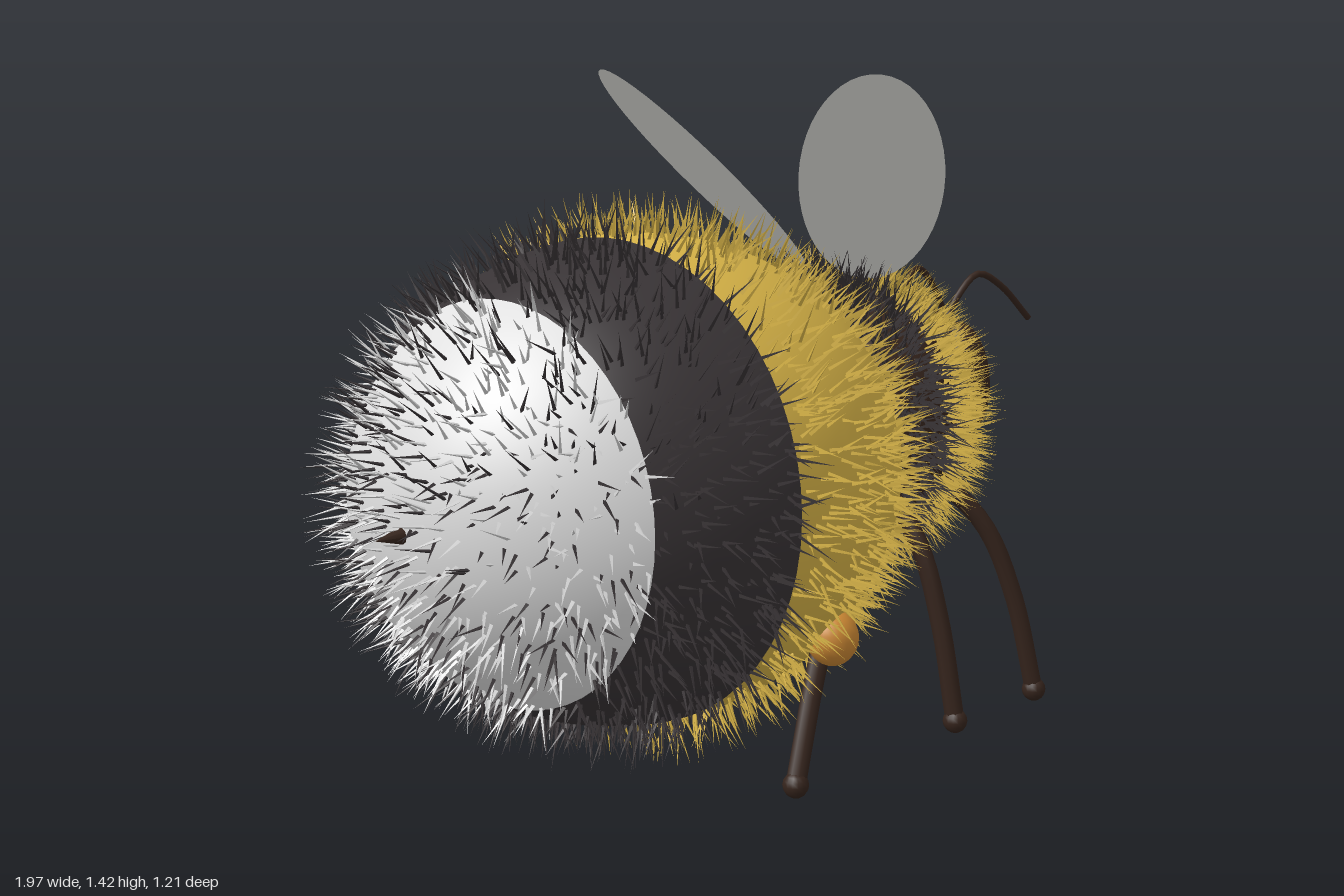
import * as THREE from 'three';

const V = (x, y, z) => new THREE.Vector3(x, y, z);

function material(name, color) {
  const m = new THREE.MeshStandardMaterial({ color });
  m.name = name;
  return m;
}

const mats = {
  yellow: material('yellow', 0xd9b548),
  black: material('black', 0x383335),
  white: material('white', 0xe0e0e0),
  brown: material('brown', 0x35241c),
  wing: material('wing', 0xe6e6e1),
  pollen: material('pollen orange', 0xcc8834),
};
mats.wing.side = THREE.DoubleSide;

// Small seeded generator
function seeded(seed) {
  return () => {
    seed = (seed * 16807) % 2147483647;
    return seed / 2147483647;
  };
}

function add(parent, name, geometry, mat) {
  const mesh = new THREE.Mesh(geometry, mat);
  mesh.name = name;
  parent.add(mesh);
  return mesh;
}

function ellipsoid(parent, name, mat, c, r, segments = 32) {
  const geo = new THREE.SphereGeometry(1, segments, Math.round(segments * 0.6));
  geo.scale(r.x, r.y, r.z);
  const mesh = add(parent, name, geo, mat);
  mesh.position.copy(c);
  return mesh;
}

function tube(parent, name, mat, points, radius) {
  const curve = new THREE.CatmullRomCurve3(points);
  return add(parent, name, new THREE.TubeGeometry(curve, 18, radius, 8), mat);
}

// Three-sided spikes spread evenly over an ellipsoid, grouped by colour
function fur(parent, name, c, r, count, length, width, pick, seed) {
  const rand = seeded(seed);
  const buckets = {};
  const p = V(0, 0, 0), dir = V(0, 0, 0), t1 = V(0, 0, 0), t2 = V(0, 0, 0);
  for (let i = 0; i < count; i++) {
    const h = 1 - (2 * (i + rand())) / count;
    const a = i * 2.399963 + rand() * 1.5;
    const s = Math.sqrt(1 - h * h);
    const n = V(h, s * Math.cos(a), s * Math.sin(a));
    p.copy(n).multiply(r).add(c);
    const key = pick(p, rand());
    if (!key) continue;
    dir.copy(n).divide(r).normalize();
    dir.add(V(rand() - 0.5, rand() - 0.5, rand() - 0.5).multiplyScalar(0.85)).normalize();
    t1.set(0, 1, 0);
    if (Math.abs(dir.y) > 0.8) t1.set(0, 0, 1);
    t1.cross(dir).normalize();
    t2.crossVectors(dir, t1);
    const tip = p.clone().addScaledVector(dir, length * (0.45 + 0.75 * rand()));
    const base = [0, 1, 2].map((k) => p.clone()
      .addScaledVector(t1, width * Math.cos(k * 2.0944))
      .addScaledVector(t2, width * Math.sin(k * 2.0944)));
    const list = (buckets[key] ??= []);
    for (let k = 0; k < 3; k++) {
      for (const q of [base[k], base[(k + 1) % 3], tip]) list.push(q.x, q.y, q.z);
    }
  }
  for (const key in buckets) {
    const geo = new THREE.BufferGeometry();
    geo.setAttribute('position', new THREE.Float32BufferAttribute(buckets[key], 3));
    geo.computeVertexNormals();
    add(parent, `${name} ${key} fur`, geo, mats[key]);
  }
}

export function createModel() {
  const bee = new THREE.Group();
  bee.name = 'bee';

  // Abdomen: one ellipsoid cut into three colour bands along x
  const abC = V(-0.27, 0.61, 0), abR = V(0.62, 0.5, 0.51);
  const edges = [0.35, -0.34, -0.64, -0.89];
  ['yellow', 'black', 'white'].forEach((key, i) => {
    const [t0, t1] = [edges[i], edges[i + 1]].map((x) =>
      Math.acos(THREE.MathUtils.clamp((x - abC.x) / abR.x, -1, 1)));
    const geo = new THREE.SphereGeometry(1, 56, 20, 0, Math.PI * 2, t0, t1 - t0);
    geo.rotateZ(-Math.PI / 2);
    geo.scale(abR.x, abR.y, abR.z);
    add(bee, `${key} abdomen band`, geo, mats[key]).position.copy(abC);
  });

  // Abdomen fur: dark hairs mixed into the pale tail, bare patch at the pollen baskets
  fur(bee, 'abdomen', abC, abR, 4400, 0.085, 0.0042, (p, r) => {
    if (p.x > 0.2 || Math.hypot(p.x + 0.11, p.y - 0.31) < 0.06) return null;
    if (p.x > -0.34) return 'yellow';
    return p.x > -0.64 || r < 0.4 ? 'black' : 'white';
  }, 17);

  // Stinger
  const stinger = add(bee, 'stinger', new THREE.ConeGeometry(0.022, 0.08, 10), mats.brown);
  stinger.rotation.z = Math.PI / 2;
  stinger.position.set(-0.91, 0.595, 0);

  // Thorax with a dark rear half and a yellow collar
  const thC = V(0.39, 0.66, 0), thR = V(0.24, 0.3, 0.3);
  ellipsoid(bee, 'thorax', mats.brown, thC, thR);
  fur(bee, 'thorax', thC, thR, 6500, 0.098, 0.004,
    (p) => (p.x > 0.39 ? 'yellow' : 'black'), 91);

  // Head
  ellipsoid(bee, 'head', mats.brown, V(0.68, 0.705, 0), V(0.11, 0.178, 0.175));

  for (const s of [1, -1]) {
    const side = s > 0 ? 'left' : 'right';
    const M = (x, y, z) => V(x, y, z * s);

    // Eye and antenna
    const eye = ellipsoid(bee, `${side} eye`, mats.brown,
      M(0.705, 0.715, 0.135), V(0.068, 0.13, 0.062), 24);
    eye.rotation.x = -0.14 * s;
    tube(bee, `${side} antenna`, mats.brown, [
      M(0.72, 0.82, 0.065), M(0.765, 0.9, 0.08), M(0.825, 0.943, 0.09),
      M(0.9, 0.91, 0.105), M(0.99, 0.825, 0.126),
    ], 0.008);

    // Legs with rounded feet
    const legs = {
      front: [M(0.44, 0.58, 0.18), M(0.55, 0.42, 0.305), M(0.6, 0.25, 0.36), M(0.632, 0.03, 0.4)],
      middle: [M(0.29, 0.58, 0.18), M(0.305, 0.42, 0.305), M(0.315, 0.25, 0.36), M(0.323, 0.03, 0.4)],
      rear: [M(0.02, 0.46, 0.26), M(-0.1, 0.31, 0.365), M(-0.16, 0.18, 0.383), M(-0.224, 0.03, 0.4)],
    };
    for (const key in legs) {
      tube(bee, `${side} ${key} leg`, mats.brown, legs[key], 0.021);
      ellipsoid(bee, `${side} ${key} foot`, mats.brown, legs[key][3], V(0.027, 0.027, 0.027), 14);
    }
    ellipsoid(bee, `${side} pollen basket`, mats.pollen,
      M(-0.11, 0.31, 0.4), V(0.055, 0.058, 0.053), 20);

    // Wing: a flat ellipse leaning back and outwards
    const u = M(-0.16, 0.225, 0.17);
    const v = M(-0.095, 0.045, -0.115);
    const n = u.clone().cross(v).normalize();
    const geo = new THREE.CircleGeometry(1, 48);
    geo.applyMatrix4(new THREE.Matrix4().makeBasis(u, v, n));
    add(bee, `${side} wing`, geo, mats.wing).position.copy(M(0.215, 1.198, 0.235));
  }
  return bee;
}
